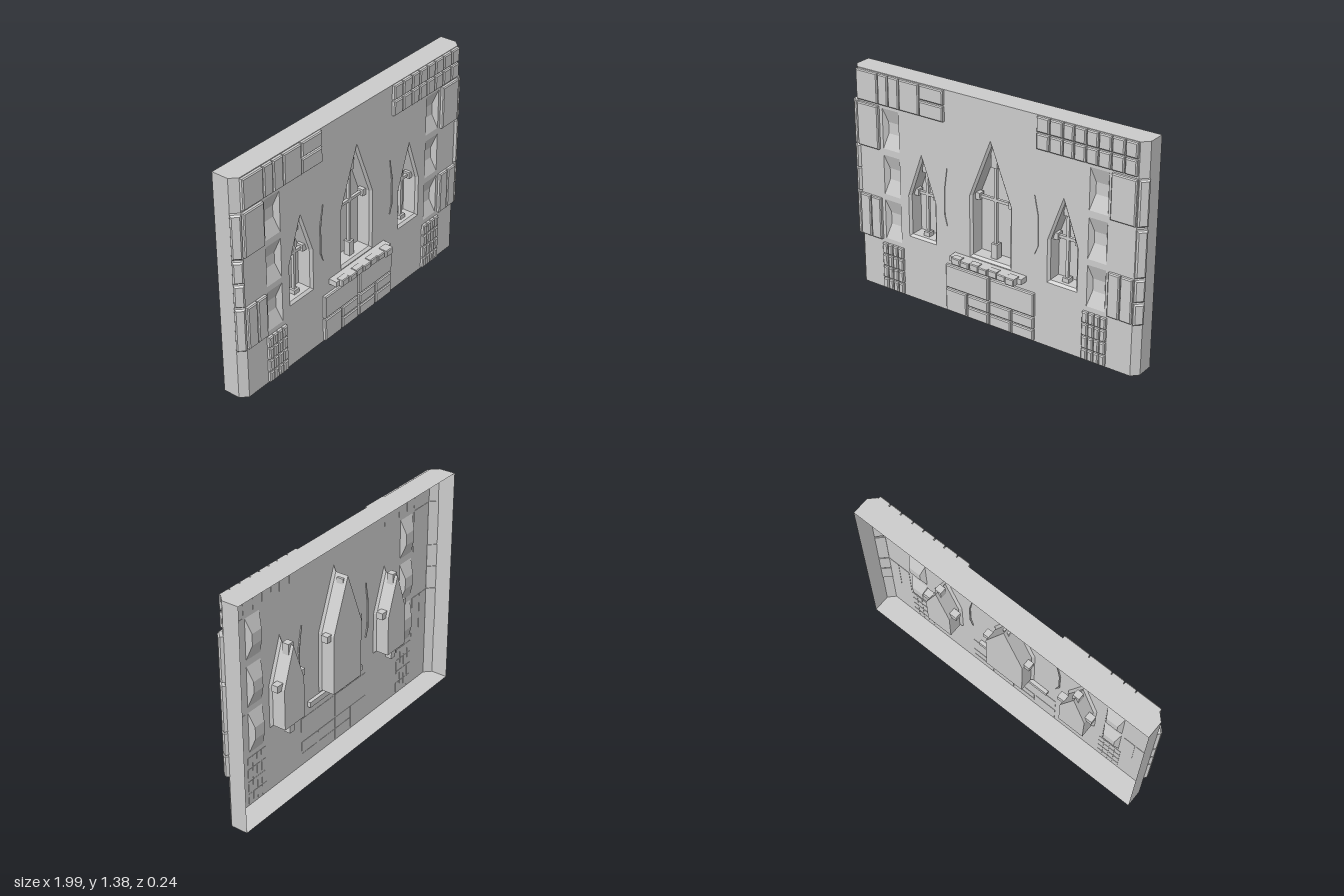
import * as THREE from 'three';

const mat = new THREE.MeshStandardMaterial({ color: 0xcccccc, flatShading: true, side: THREE.DoubleSide });
const H = 1.385, FRONT = 0.026, BACK = -0.12;

function add(parent, name, geo) {
  const m = new THREE.Mesh(geo, mat);
  m.name = name;
  parent.add(m);
  return m;
}

// Box given by its extents; the front face shrinks by bevel
function block(x0, x1, y0, y1, z0, z1, bevel = 0) {
  const w = x1 - x0, h = y1 - y0, d = z1 - z0;
  const g = new THREE.BoxGeometry(w, h, d, 1, 1, bevel ? 2 : 1);
  const p = g.attributes.position;
  for (let i = 0; i < p.count; i++) {
    const z = p.getZ(i);
    if (bevel && z > d / 2 - 1e-5) p.setXY(i, p.getX(i) * (1 - 2 * bevel / w), p.getY(i) * (1 - 2 * bevel / h));
    else if (bevel && Math.abs(z) < 1e-5) p.setZ(i, d / 2 - bevel);
  }
  g.translate((x0 + x1) / 2, (y0 + y1) / 2, (z0 + z1) / 2);
  g.computeVertexNormals();
  return g;
}

// Surface through closed rings of [x, y, z] points, the last ring capped
function loft(rings, cap = true) {
  const v = [], n = rings[0].length, last = rings[rings.length - 1];
  for (let r = 0; r + 1 < rings.length; r++)
    for (let i = 0; i < n; i++) {
      const j = (i + 1) % n, a = rings[r][i], b = rings[r][j], c = rings[r + 1][j], d = rings[r + 1][i];
      v.push(...a, ...b, ...c, ...a, ...c, ...d);
    }
  if (cap) for (let i = 1; i + 1 < n; i++) v.push(...last[0], ...last[i], ...last[i + 1]);
  const g = new THREE.BufferGeometry();
  g.setAttribute('position', new THREE.Float32BufferAttribute(v, 3));
  g.computeVertexNormals();
  return g;
}

const at = (pts, z) => pts.map(([x, y]) => [x, y, z]);
const rect = (x0, x1, y0, y1) => [[x0, y0], [x1, y0], [x1, y1], [x0, y1]];
const toPath = (pts, Type) => new Type(pts.map(([x, y]) => new THREE.Vector2(x, y)));

// Pointed window outline, inset by i
const arch = (w, i = 0) => [
  [w.x - w.hw + i, w.y0 + i], [w.x + w.hw - i, w.y0 + i], [w.x + w.hw - i, w.ys],
  [w.x, w.ya - 2.5 * i], [w.x - w.hw + i, w.ys]];

const windows = [
  { name: 'centreWindow', x: 0, hw: 0.144, y0: 0.405, ys: 0.79, ya: 1.155, bar: 0.78, foot: [0.39, 0.51], head: [0.98, 1.10] },
  ...[-1, 1].map(s => ({ name: s > 0 ? 'leftWindow' : 'rightWindow', x: s * 0.486, hw: 0.1, y0: 0.405, ys: 0.67, ya: 0.946,
    bar: 0.685, foot: [0.355, 0.445], head: [0.825, 0.92] })),
];
const niches = [];
for (const s of [-1, 1])
  for (const [y0, y1] of [[0.92, 1.17], [0.63, 0.88], [0.34, 0.595]])
    niches.push([s * 0.706, y0, y1]);

function buildWall(g) {
  // Front panel with openings for the windows and niches
  const shape = toPath(rect(-0.94, 0.94, 0, H), THREE.Shape);
  for (const w of windows) shape.holes.push(toPath(arch(w), THREE.Path));
  for (const [x, y0, y1] of niches) shape.holes.push(toPath(rect(x - 0.059, x + 0.059, y0, y1), THREE.Path));
  add(g, 'wallFront', new THREE.ShapeGeometry(shape).translate(0, 0, FRONT));

  // Chamfered sides, top and bottom of the shell, open behind
  const plan = [[-0.98, BACK], [-0.98, -0.015], [-0.94, FRONT], [0.94, FRONT], [0.98, -0.015], [0.98, BACK]];
  const ring = y => plan.map(([x, z]) => [x, y, z]);
  for (const s of [0, 3]) {
    const side = y => ring(y).slice(s, s + 3);
    const [a, b, c] = side(0), [d, e, f] = side(H);
    add(g, s ? 'wallLeftSide' : 'wallRightSide', loft([[a, d], [b, e], [c, f]], false));
  }
  add(g, 'wallBottom', loft([ring(0)]));
  add(g, 'wallTop', loft([ring(H).reverse()]));

  // Shallow sloped niches
  for (const [x, y0, y1] of niches)
    add(g, 'niche', loft([
      at(rect(x - 0.059, x + 0.059, y0, y1), FRONT),
      at(rect(x - 0.039, x + 0.039, y0 + 0.09, y1 - 0.09), FRONT - 0.03)]));
}

function buildWindow(w) {
  const g = new THREE.Group();
  g.name = w.name;
  add(g, 'windowRecess', loft([at(arch(w), FRONT), at(arch(w, 0.014), 0.012), at(arch(w, 0.014), -0.07)]));
  // Cross bars with thicker ends set into the recess walls
  const z = -0.03, t = 0.009, e = 0.021;
  add(g, 'mullion', block(w.x - t, w.x + t, w.foot[0] + 0.02, w.head[1] - 0.02, z - t, z + t));
  add(g, 'crossBar', block(w.x - w.hw, w.x + w.hw, w.bar - t, w.bar + t, z - t, z + t));
  for (const [name, [y0, y1]] of [['mullionFoot', w.foot], ['mullionHead', w.head]])
    add(g, name, block(w.x - e, w.x + e, y0, y1, z - e, z + e));
  for (const s of [-1, 1]) {
    const a = w.x + s * (w.hw - 0.045), b = w.x + s * (w.hw + 0.02);
    add(g, 'crossBarEnd', block(Math.min(a, b), Math.max(a, b), w.bar - e, w.bar + e, z - e, z + e));
  }
  return g;
}

function buildBricks(g) {
  const brick = (x0, x1, y0, y1) => add(g, 'brick', block(x0, x1, y0, y1, FRONT - 0.002, 0.047, 0.006));

  // Upper courses
  for (const [a, b] of [[-0.94, -0.785], [-0.78, -0.71], [-0.705, -0.63], [-0.625, -0.485]]) brick(a, b, 1.195, 1.38);
  const rows = [[1.195, 1.285], [1.295, 1.382]];
  const cols = [0.315, 0.4, 0.485, 0.555, 0.63, 0.705, 0.785, 0.865, 0.942];
  for (const [y0, y1] of rows) {
    brick(-0.48, -0.315, y0, y1);
    for (let i = 0; i < 8; i++) brick(cols[i], cols[i + 1] - 0.007, y0, y1);
  }

  // Large edge bricks and small lower clusters, mirrored
  for (const s of [-1, 1]) {
    const m = (a, b, y0, y1) => brick(Math.min(s * a, s * b), Math.max(s * a, s * b), y0, y1);
    m(0.787, 0.94, 0.91, 1.178);
    m(0.787, 0.86, 0.33, 0.597);
    m(0.866, 0.94, 0.33, 0.597);
    for (const [y0, y1] of [[0.01, 0.075], [0.083, 0.155], [0.163, 0.235], [0.243, 0.31]])
      for (const [a, b] of [[0.63, 0.666], [0.671, 0.705], [0.71, 0.742], [0.747, 0.782]]) m(a, b, y0, y1);
  }

  // Centre courses under the sill
  brick(-0.307, -0.007, 0.165, 0.312);
  brick(0.007, 0.31, 0.165, 0.312);
  brick(-0.307, -0.16, 0.01, 0.155);
  for (const x of [-0.152, 0.006, 0.162])
    for (const [y0, y1] of [[0.01, 0.078], [0.086, 0.155]]) brick(x, x + 0.146, y0, y1);
}

// Stones lying on the chamfered corners
function buildCornerStones(g) {
  const courses = {
    '1': [[0.91, 1.18], [0.61, 0.89], [0.465, 0.6], [0.325, 0.455]],
    '-1': [[0.91, 1.18], [0.76, 0.895], [0.61, 0.75], [0.325, 0.6]],
  };
  for (const s of [-1, 1])
    for (const [y0, y1] of courses[s]) {
      const m = add(g, 'cornerStone', block(-0.03, 0.03, y0, y1, -0.005, 0.026, 0.009));
      m.position.set(s * 0.96, 0, 0.0055);
      m.rotation.y = s * Math.PI / 4;
    }
}

function buildSill(g) {
  add(g, 'sillLedge', block(-0.25, 0.25, 0.366, 0.4, 0.004, 0.08));
  const n = 7, w = 0.45 / n;
  for (let i = 0; i < n; i++) {
    const x = -0.225 + i * w;
    add(g, 'sillStone', block(x + 0.002, x + w - 0.002, 0.361 + 0.003 * (i % 2), 0.405 - 0.003 * (i % 2),
      0.06, i === n - 1 ? 0.118 : 0.102 + 0.006 * (i % 2), 0.005));
  }
}

export function createModel() {
  const model = new THREE.Group();
  model.name = 'gothicWall';
  const part = (name, build) => {
    const g = new THREE.Group();
    g.name = name;
    build(g);
    model.add(g);
  };
  part('wall', buildWall);
  for (const w of windows) model.add(buildWindow(w));
  part('bricks', buildBricks);
  part('cornerStones', buildCornerStones);
  part('sill', buildSill);
  // Thin cracks beside the centre window
  part('cracks', g => {
    for (const s of [-1, 1]) {
      const pts = [[0.3, 0.915], [0.326, 0.79], [0.326, 0.61], [0.303, 0.555], [0.319, 0.62], [0.319, 0.78]]
        .map(([x, y]) => [s * x, y]);
      add(g, 'crack', new THREE.ExtrudeGeometry(toPath(pts, THREE.Shape), { depth: 0.012, bevelEnabled: false })
        .translate(0, 0, FRONT - 0.007));
    }
  });
  return model;
}
